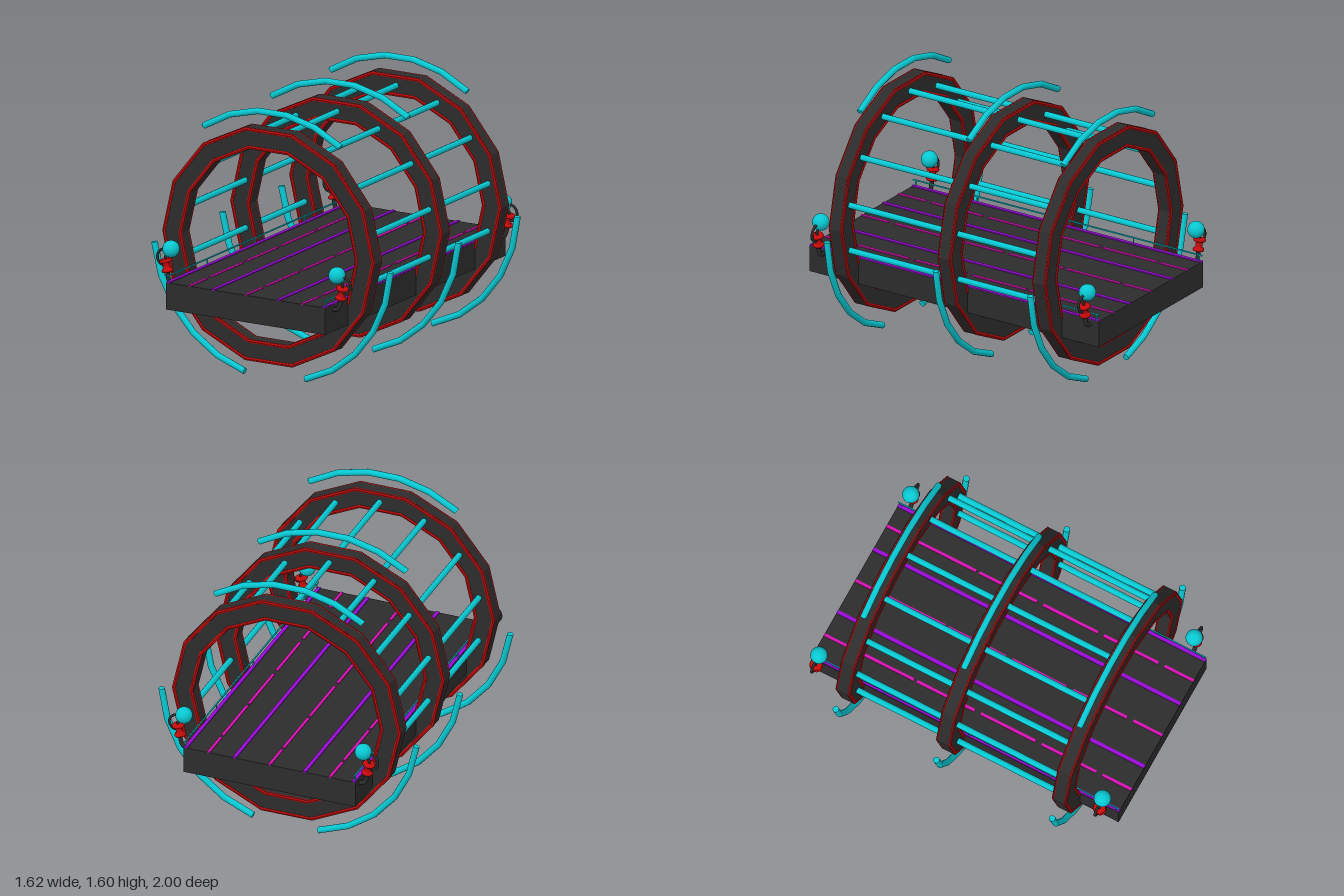
import * as THREE from 'three';

const mat = (name, color) => Object.assign(new THREE.MeshStandardMaterial({ color }), { name });

export function createModel() {
  const dark = mat('charcoal', 0x2c2c2c);
  const red = mat('red', 0xc80a0a);
  const cyan = mat('cyan', 0x08c8d2);
  const purple = mat('purple', 0x9a0ad8);
  const magenta = mat('magenta', 0xd810b4);

  const model = new THREE.Group();
  model.name = 'ringBridge';
  const CY = 0.796, DECK_TOP = 0.57, SIDES = 14;

  const add = (parent, name, geo, material, x = 0, y = 0, z = 0) => {
    const m = new THREE.Mesh(geo, material);
    m.name = name;
    m.position.set(x, y, z);
    parent.add(m);
    return m;
  };
  const flat = (geo) => {
    const g = geo.toNonIndexed();
    g.computeVertexNormals();
    return g;
  };
  const polygon = (r, PathType) => {
    const pts = [];
    for (let i = 0; i < SIDES; i++) {
      const a = (i / SIDES) * Math.PI * 2;
      pts.push(new THREE.Vector2(r * Math.cos(a), r * Math.sin(a)));
    }
    return new PathType(pts);
  };

  // Deck slab
  add(model, 'deck', new THREE.BoxGeometry(1.065, 0.16, 2), dark, 0, DECK_TOP - 0.08, 0);

  // Solid lane lines
  for (const x of [-0.52, -0.217, 0.217, 0.52]) {
    add(model, 'laneLine', new THREE.BoxGeometry(0.022, 0.008, 2), purple, x, DECK_TOP + 0.002, 0);
  }
  // Dashed lane lines
  for (const x of [-0.375, 0, 0.378]) {
    for (let i = -3; i < 3; i++) {
      const z0 = Math.max(-1, i * 0.395 + 0.02 - 0.02 * (i < 0));
      const z1 = Math.min(1, (i + 1) * 0.395 - 0.02);
      add(model, 'laneDash', new THREE.BoxGeometry(0.018, 0.006, z1 - z0), magenta, x, DECK_TOP + 0.002, (z0 + z1) / 2);
    }
  }

  // Thin guard rails with posts
  for (const s of [-1, 1]) {
    add(model, 'guardRail', new THREE.BoxGeometry(0.007, 0.007, 2), cyan, s * 0.525, 0.608, 0);
    for (const z of [0.98, 0.555, 0.025, -0.525, -0.98]) {
      add(model, 'guardPost', new THREE.BoxGeometry(0.006, 0.04, 0.006), cyan, s * 0.525, 0.588, z);
    }
  }

  // Fourteen-sided rings, each with edge trim and three outer arcs
  const RING_DEPTH = 0.086;
  const ringShape = polygon(0.71, THREE.Shape);
  ringShape.holes.push(polygon(0.58, THREE.Path));
  const ringGeo = new THREE.ExtrudeGeometry(ringShape, { depth: RING_DEPTH, bevelEnabled: false });
  ringGeo.translate(0, 0, -RING_DEPTH / 2);
  const trimGeos = [0.699, 0.591].map((r) => flat(new THREE.TorusGeometry(r, 0.0125, 8, SIDES)));
  const ARC = THREE.MathUtils.degToRad(70);
  const arcGeo = new THREE.TorusGeometry(0.793, 0.019, 10, 5, ARC);
  const capGeo = new THREE.CylinderGeometry(0.019, 0.019, 0.004, 10);

  for (const z of [0.705, -0.048, -0.702]) {
    const ring = new THREE.Group();
    ring.name = 'ring';
    ring.position.set(0, CY, z);
    model.add(ring);
    add(ring, 'ringBody', ringGeo, dark);
    for (const s of [-1, 1]) {
      for (const g of trimGeos) add(ring, 'ringTrim', g, red, 0, 0, s * (RING_DEPTH / 2 - 0.007));
    }
    for (const start of [55, 186.5, -73.5]) {
      const arc = add(ring, 'outerArc', arcGeo, cyan);
      arc.rotation.z = THREE.MathUtils.degToRad(start);
      for (const a of [0, ARC]) {
        const cap = add(arc, 'arcCap', capGeo, cyan, 0.793 * Math.cos(a), 0.793 * Math.sin(a), 0);
        cap.rotation.z = a;
      }
    }
  }

  // Long bars joining the rings
  const barGeo = new THREE.CylinderGeometry(0.018, 0.018, 1.4, 10);
  barGeo.rotateX(Math.PI / 2);
  for (let i = -4; i <= 4; i++) {
    const a = Math.PI / 2 + i * 0.452;
    add(model, 'crossBar', barGeo, cyan, 0.005 + 0.63 * Math.cos(a), CY + 0.63 * Math.sin(a), 0);
  }

  // Corner lamps: bent stem, red spool, hooked arm and globe
  const tube = (pts, r) => new THREE.TubeGeometry(
    new THREE.CatmullRomCurve3(pts.map(([x, y]) => new THREE.Vector3(x, y, 0))), 20, r, 8);
  const spool = new THREE.LatheGeometry([
    [0, -0.04], [0.03, -0.04], [0.034, -0.032], [0.03, -0.022], [0.02, -0.018],
    [0.02, 0.014], [0.034, 0.018], [0.038, 0.026], [0.034, 0.036], [0, 0.036],
  ].map(([x, y]) => new THREE.Vector2(x, y)), 16);
  const globe = new THREE.SphereGeometry(0.05, 20, 14);
  for (const s of [-1, 1]) {
    const stem = tube([[s * 0.53, 0.54], [s * 0.56, 0.545], [s * 0.575, 0.575], [s * 0.58, 0.63]], 0.013);
    const arm = tube([[s * 0.585, 0.65], [s * 0.62, 0.645], [s * 0.645, 0.675], [s * 0.642, 0.71],
      [s * 0.615, 0.735], [s * 0.56, 0.742]], 0.008);
    const neck = tube([[s * 0.588, 0.66], [s * 0.594, 0.69], [s * 0.58, 0.715], [s * 0.555, 0.735]], 0.008);
    for (const z of [0.907, -0.937]) {
      const lamp = new THREE.Group();
      lamp.name = 'lamp';
      lamp.position.z = z;
      model.add(lamp);
      add(lamp, 'lampStem', stem, dark);
      add(lamp, 'lampArm', arm, dark);
      add(lamp, 'lampNeck', neck, dark);
      add(lamp, 'lampSpool', spool, red, s * 0.586, 0.645, 0).rotation.z = s * -0.2;
      add(lamp, 'lampGlobe', globe, cyan, s * 0.556, 0.745, 0);
    }
  }
  return model;
}
